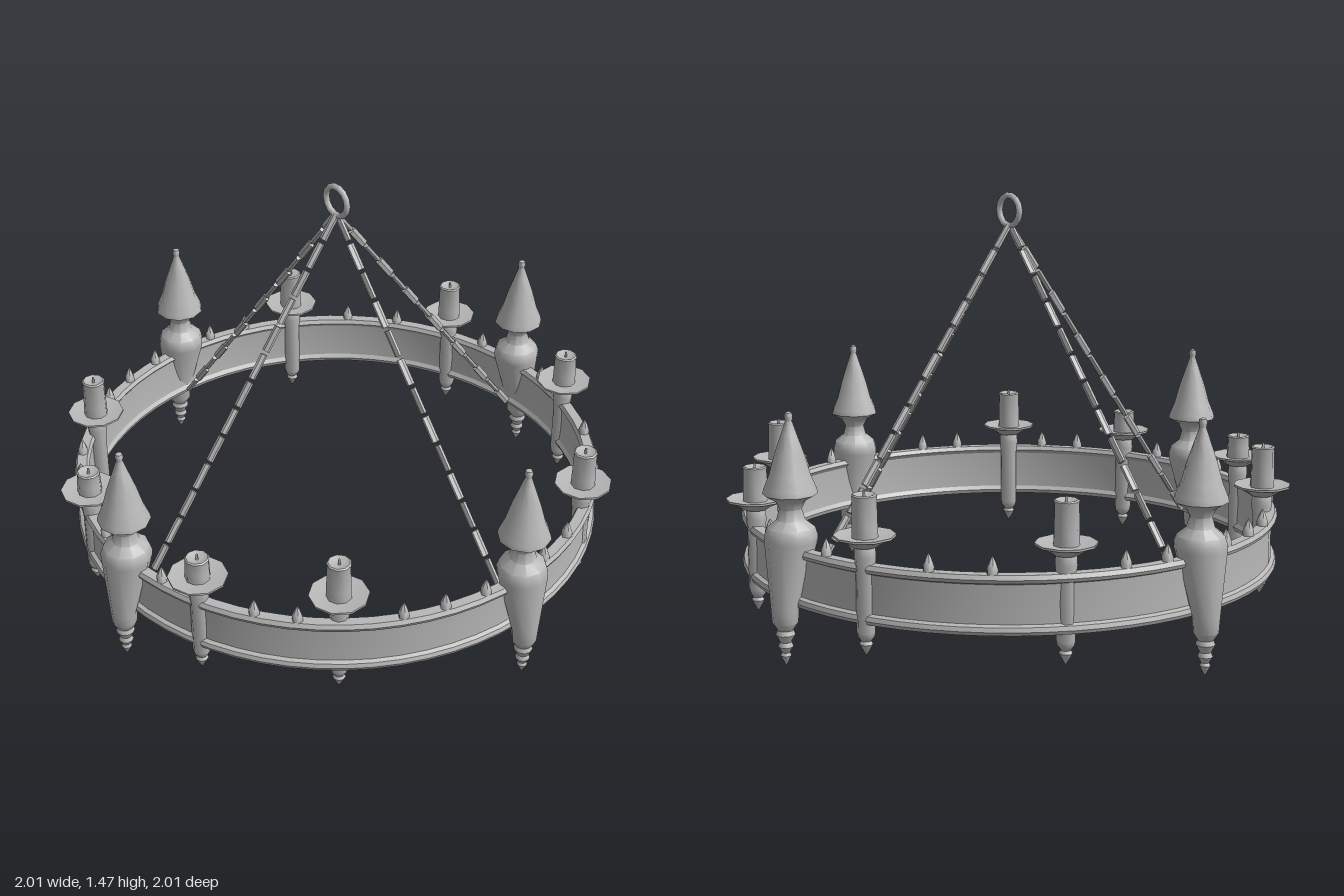
import * as THREE from 'three';
import { toCreasedNormals } from 'three/addons/utils/BufferGeometryUtils.js';

const iron = new THREE.MeshStandardMaterial({ color: 0xb8b8b8 });
iron.name = 'grey iron';

const RADIUS = 0.905;

function addMesh(parent, name, geometry) {
  const mesh = new THREE.Mesh(geometry, iron);
  mesh.name = name;
  parent.add(mesh);
  return mesh;
}

// Turned part from [radius, height] pairs listed bottom to top
function turned(profile, sides, crease = 0.75) {
  const points = profile.map(([r, y]) => new THREE.Vector2(r, y));
  return toCreasedNormals(new THREE.LatheGeometry(points, sides), crease);
}

// Hoop: upright band with a raised rim along both edges
function hoop() {
  return turned([
    [0.885, 0.21], [0.925, 0.21], [0.93, 0.222], [0.925, 0.236], [0.912, 0.242],
    [0.91, 0.305], [0.912, 0.368], [0.925, 0.374], [0.93, 0.386], [0.922, 0.4],
    [0.888, 0.4], [0.88, 0.386], [0.89, 0.372], [0.893, 0.305], [0.89, 0.238],
    [0.88, 0.224], [0.885, 0.21],
  ], 64, 0.5);
}

// Spired finial: its lower body leans outward (+z) so the outer edge stays upright
function finialGeometry() {
  const profile = [
    [0, 0.01], [0.018, 0.045], [0.013, 0.055], [0.025, 0.075], [0.019, 0.09],
    [0.032, 0.115], [0.026, 0.13], [0.042, 0.155], [0.045, 0.2], [0.085, 0.42],
    [0.085, 0.44], [0.077, 0.465], [0.046, 0.49], [0.036, 0.525], [0.05, 0.553],
    [0.088, 0.575], [0.084, 0.592], [0.066, 0.635], [0.048, 0.7], [0.024, 0.77],
    [0.011, 0.808], [0.014, 0.823], [0.011, 0.835], [0, 0.84],
  ];
  const geometry = new THREE.LatheGeometry(profile.map(([r, y]) => new THREE.Vector2(r, y)), 10);
  const p = geometry.attributes.position;
  for (let i = 0; i < p.count; i++) {
    const lean = THREE.MathUtils.clamp((0.43 - p.getY(i)) / 0.23, 0, 1);
    p.setZ(i, p.getZ(i) + 0.03 * lean);
  }
  return toCreasedNormals(geometry, 0.75);
}

// Candle holder: pointed stem, drip dish, candle and wick
function candleHolder(top) {
  const holder = new THREE.Group();
  holder.name = 'candleHolder';
  addMesh(holder, 'stem', turned([
    [0, 0.1], [0.022, 0.14], [0.016, 0.15], [0.027, 0.165], [0.03, 0.18],
    [0.03, 0.38], [0.035, 0.42], [0.033, 0.45], [0.022, 0.47],
  ], 8, 0.9));
  addMesh(holder, 'dripDish', turned([
    [0, 0.452], [0.04, 0.454], [0.06, 0.468], [0.098, 0.485], [0.098, 0.492],
    [0.055, 0.484], [0, 0.482],
  ], 10));
  addMesh(holder, 'candle', turned([
    [0.042, 0.48], [0.041, 0.52], [0.039, top - 0.012], [0.041, top - 0.004],
    [0.036, top], [0.018, top - 0.008], [0, top - 0.01],
  ], 9, 0.9));
  const wick = addMesh(holder, 'wick', new THREE.CylinderGeometry(0.004, 0.005, 0.022, 5));
  wick.position.y = top;
  return holder;
}

// Chain: flat links laid end to end, each turned a quarter from the last
function chain(start, end, count) {
  const group = new THREE.Group();
  group.name = 'chain';
  const span = new THREE.Vector3().subVectors(end, start);
  const pitch = span.length() / count;
  group.position.copy(start);
  group.quaternion.setFromUnitVectors(new THREE.Vector3(0, 1, 0), span.clone().normalize());
  const bar = new THREE.CylinderGeometry(0.015, 0.015, pitch * 0.88, 6);
  bar.scale(1, 1, 0.6);
  const geometry = toCreasedNormals(bar, 0.6);
  for (let i = 0; i < count; i++) {
    const link = addMesh(group, 'link', geometry);
    link.position.y = (i + 0.5) * pitch;
    link.rotation.y = (i % 2) * Math.PI / 2;
  }
  return group;
}

export function createModel() {
  const model = new THREE.Group();
  model.name = 'chandelier';
  addMesh(model, 'hoop', hoop());

  // Four finials, each with a chain running up to the hanging ring
  const spire = finialGeometry();
  for (let i = 0; i < 4; i++) {
    const angle = i * Math.PI / 2;
    const out = new THREE.Vector3(Math.sin(angle), 0, Math.cos(angle));
    const finial = addMesh(model, 'finial', spire);
    finial.position.copy(out).multiplyScalar(0.916);
    finial.rotation.y = angle;
    const foot = out.clone().multiplyScalar(0.88).setY(0.22);
    model.add(chain(new THREE.Vector3(0, 1.37, 0), foot, 14));
  }

  // Hanging ring
  const ring = addMesh(model, 'hangingRing', new THREE.TorusGeometry(0.052, 0.011, 8, 14));
  ring.position.y = 1.415;

  // Eight candle holders in mirrored pairs: x, z, candle top left and right
  const holders = [
    [0.3, 0.85, 0.565, 0.565], [0.665, 0.57, 0.62, 0.625],
    [0.775, -0.44, 0.62, 0.625], [0.305, -0.85, 0.6, 0.62],
  ];
  for (const [x, z, topLeft, topRight] of holders) {
    for (const side of [1, -1]) {
      const holder = candleHolder(side > 0 ? topLeft : topRight);
      holder.position.set(side * x, 0, z);
      model.add(holder);
    }
  }

  // Small spikes along the top of the hoop: mirrored angles in degrees from the front
  const spikeGeometry = turned([[0.018, 0.39], [0.019, 0.415], [0.01, 0.44], [0, 0.458]], 6, 1.1);
  for (const degrees of [10, 32, 41, 62.5, 71.5, 81, 107.5, 98, 134, 146.5, 170]) {
    for (const side of [1, -1]) {
      const angle = side * THREE.MathUtils.degToRad(degrees);
      const spike = addMesh(model, 'spike', spikeGeometry);
      spike.position.set(Math.sin(angle) * RADIUS, 0, Math.cos(angle) * RADIUS);
    }
  }
  return model;
}
